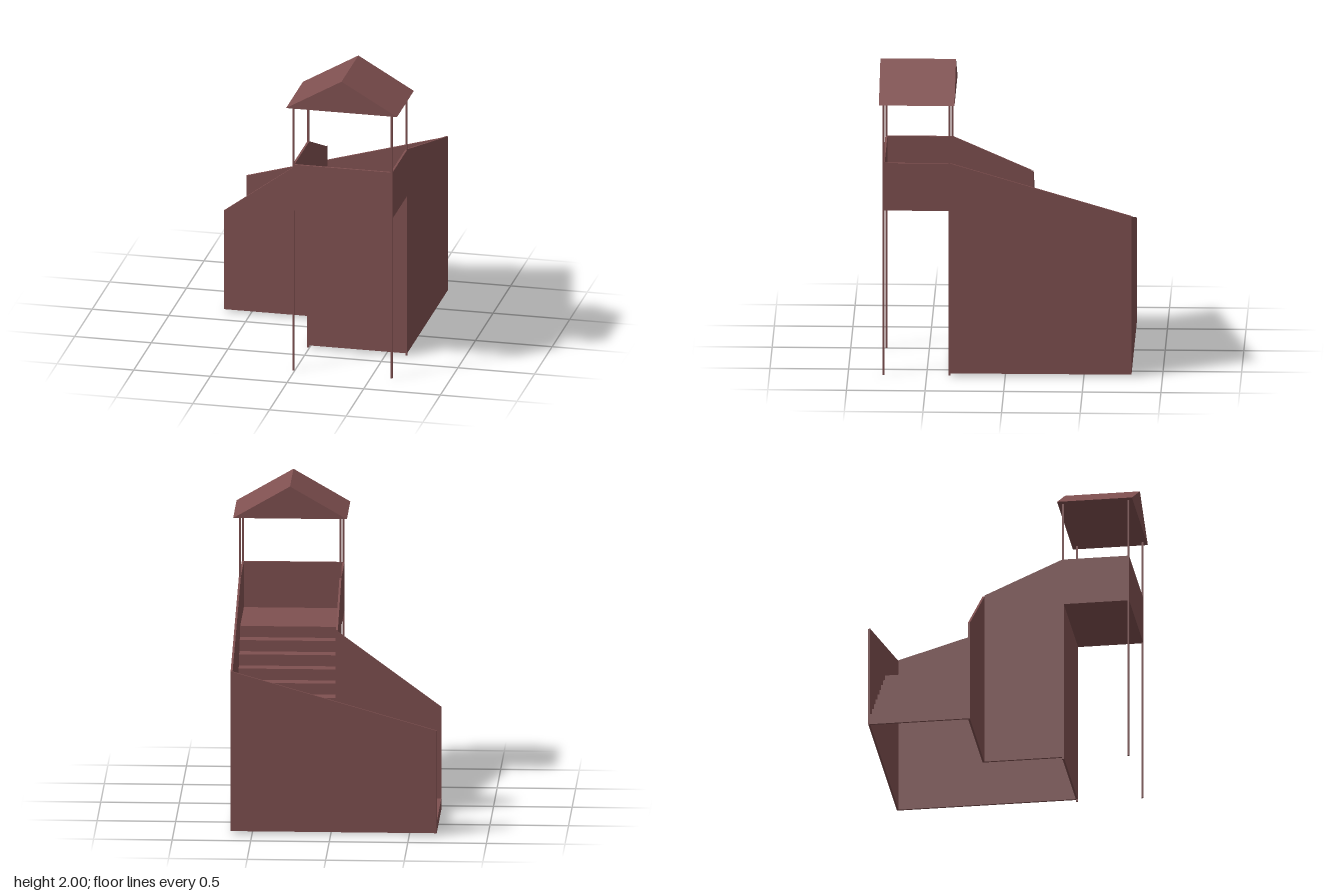
import * as THREE from 'three';

const T = 0.013; // board thickness
const material = new THREE.MeshStandardMaterial({ color: 0x7f5050, flatShading: true });

function extrude(points, depth) {
  const shape = new THREE.Shape(points.map(([a, b]) => new THREE.Vector2(a, b)));
  return new THREE.ExtrudeGeometry(shape, { depth, bevelEnabled: false });
}

// Outline in (x, y), running from z0 to z1
const alongZ = (points, z0, z1) => extrude(points, z1 - z0).translate(0, 0, z0);

// Outline in (z, y), running from x0 to x1
const alongX = (points, x0, x1) => extrude(points, x1 - x0).rotateY(-Math.PI / 2).translate(x1, 0, 0);

// Folded stair sheet: risers and treads, then a flat floor out to endX
function stairOutline(x, y, risers, run, rise, endX) {
  const top = [[x, y]];
  for (let i = 0; i < risers; i++) {
    y += rise;
    top.push([x, y]);
    if (i < risers - 1) top.push([x += run, y]);
  }
  top.push([endX, y]);
  const under = top.map(([a, b], i) => [
    i === top.length - 1 ? a : a + T,
    i === 0 ? b : b - T,
  ]);
  return [...top, ...under.reverse()];
}

export function createModel() {
  const group = new THREE.Group();
  const add = (name, geometry) => {
    const mesh = new THREE.Mesh(geometry, material);
    mesh.name = name;
    group.add(mesh);
  };

  const left = 0.637, right = -0.016, back = -0.803, front = 0.78;
  const entry = -0.675, inner = -0.15, towerBack = 0.36;
  const base = 0.015, deck = 1.1, rail = 1.4, deckUnder = deck - T;
  const rise = (deck - base) / 15, landing = base + 9 * rise;

  // Side walls: stair enclosure and platform parapet in one board
  const sideOutline = (z, top) => [
    [z, base], [towerBack, base], [towerBack, deckUnder], [front, deckUnder],
    [front, rail], [0.35, rail], [z, top],
  ];
  add('leftWall', alongX(sideOutline(back, 1.06), left - T, left));
  add('rightWall', alongX(sideOutline(inner, 1.18), right, right + T));

  // Walls across the width
  add('backWall', alongZ([[entry, base], [left, base], [left, 1.06], [entry, 0.685]], back, back + T));
  add('lowerStairWall', alongZ(
    [[entry, base], [right + T, base], [right + T, 1.18], [entry, 0.685]], inner - T, inner));
  add('frontWall', alongZ(
    [[right, base], [left, base], [left, deckUnder], [right, deckUnder]], towerBack - T, towerBack));
  add('frontParapet', alongZ(
    [[right, deckUnder], [left, deckUnder], [left, rail], [right, rail]], front - T, front));

  // Two flights, with the landing and the platform floor at their ends
  add('lowerStairs', alongZ(
    stairOutline(entry, base, 9, 0.0838, rise, left - T), back + T, inner - T));
  add('upperStairs', alongX(
    stairOutline(inner - T, landing, 6, 0.0845, rise, front - T), right + T, left - T));

  // Posts carrying the roof
  for (const x of [right + 0.006, left - 0.006]) {
    for (const z of [front - 0.006, towerBack - 0.006]) {
      add('post', new THREE.BoxGeometry(0.0125, 1.79, 0.0125).translate(x, 0.895, z));
    }
  }

  // Gable roof
  add('roof', alongZ([[-0.052, 1.79], [0.672, 1.79], [0.31, 2]], 0.322, 0.803));

  return group;
}
